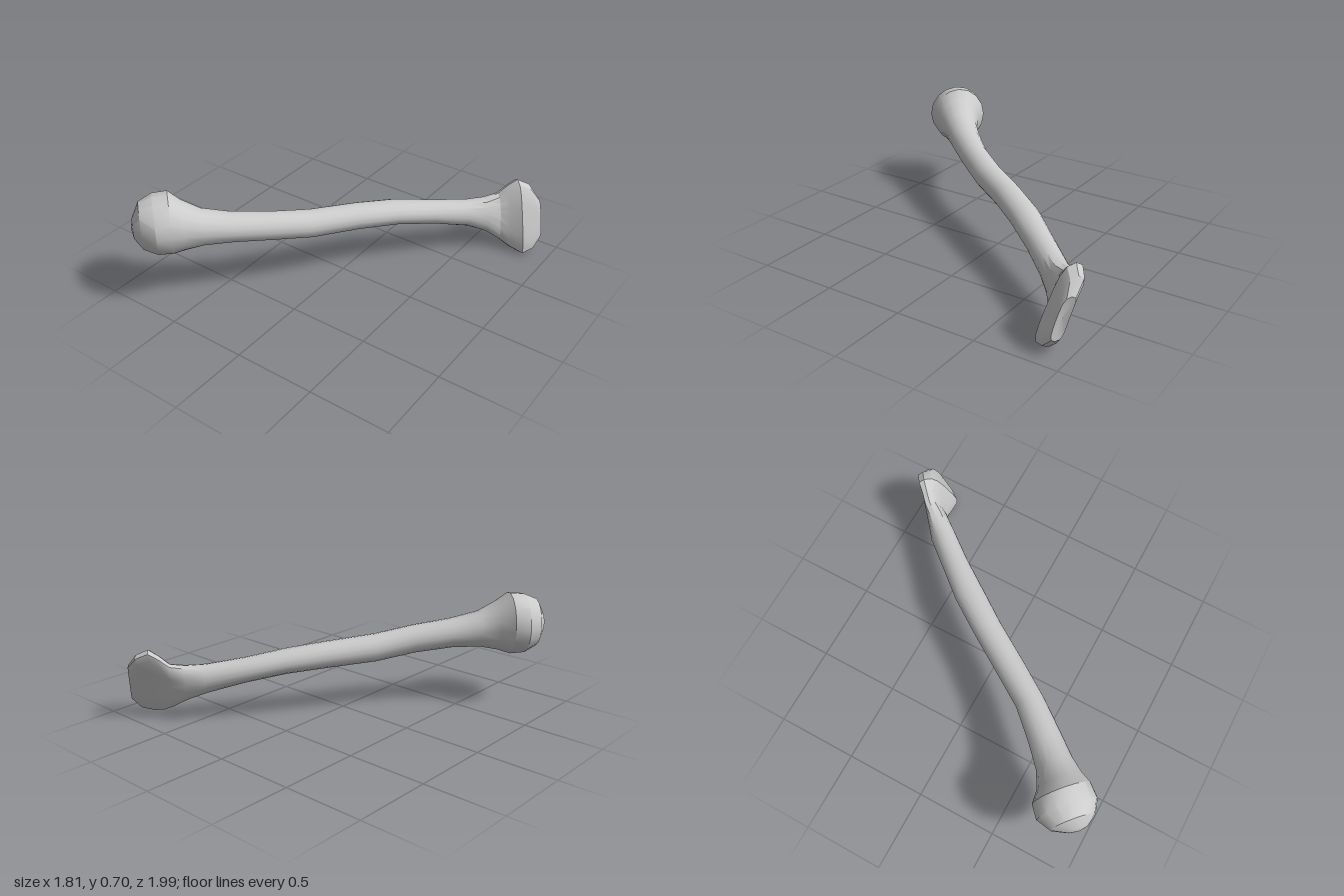
import * as THREE from 'three';
import { toCreasedNormals } from 'three/addons/utils/BufferGeometryUtils.js';

const SIDES = 16;
// horizontal directions along and across the bone
const along = new THREE.Vector3(0.67, 0, -0.742);
const across = new THREE.Vector3(0.742, 0, 0.67);

// cross-sections: [distance along, across min, across max, bottom, top]
const head = [
  [-1.245, -0.03, 0.09, 0.44, 0.57],
  [-1.2, -0.12, 0.15, 0.36, 0.655],
  [-1.12, -0.172, 0.195, 0.322, 0.69],
  [-1.03, -0.165, 0.19, 0.315, 0.698],
  [-0.96, -0.11, 0.168, 0.335, 0.645],
  [-0.85, -0.072, 0.15, 0.355, 0.58],
];
const shaft = [
  [-0.68, -0.056, 0.142, 0.355, 0.537],
  [-0.45, -0.048, 0.127, 0.33, 0.505],
  [-0.2, -0.082, 0.097, 0.293, 0.465],
  [0.1, -0.128, 0.05, 0.28, 0.442],
  [0.35, -0.159, 0.025, 0.263, 0.415],
  [0.6, -0.163, 0.002, 0.22, 0.372],
  [0.83, -0.167, -0.007, 0.165, 0.342],
];
// the far end also has [lean, pinch]: the top leans across, the middle is hollowed
const elbow = [
  [0.95, -0.158, -0.007, 0.12, 0.34, 0.01, 0.1],
  [1.04, -0.145, 0.005, 0.06, 0.358, 0.035, 0.25],
  [1.1, -0.137, 0.05, 0.02, 0.41, 0.06, 0.35],
  [1.16, -0.137, 0.11, 0.0, 0.45, 0.085, 0.35],
  [1.235, -0.122, 0.1, 0.025, 0.415, 0.075, 0.35],
  [1.29, -0.06, 0.07, 0.09, 0.335, 0.04, 0.3],
];

function place(s, t, y) {
  return along.clone().multiplyScalar(s).addScaledVector(across, t).setY(y);
}

function ring([s, t0, t1, y0, y1, lean = 0, pinch = 0]) {
  const mid = (t0 + t1) / 2, half = (t1 - t0) / 2;
  const width = Math.sqrt(half * half - lean * lean); // keeps the leaning outline within its limits
  const points = [];
  for (let j = 0; j < SIDES; j++) {
    const a = (j / SIDES) * Math.PI * 2;
    const c = Math.cos(a), v = Math.sin(a);
    // deeper hollow on the rear side, shallower waist on the front side
    const hollow = 1 - pinch * (c < 0 ? 1.3 : 0.7) * (1 - v * v);
    const box = pinch > 0 ? Math.sign(c) * Math.pow(Math.abs(c), 0.75) : c;
    points.push(place(s, mid + box * width * hollow - lean * v, (y0 + y1) / 2 + v * (y1 - y0) / 2));
  }
  return points;
}

// skin consecutive rings, then close both ends
function loft(sections) {
  const pos = [], index = [];
  sections.forEach((sec) => ring(sec).forEach((p) => pos.push(p.x, p.y, p.z)));
  const last = (sections.length - 1) * SIDES;
  const first = sections[0], end = sections[sections.length - 1];
  const centre = (sec, push) => place(sec[0] + push, (sec[1] + sec[2]) / 2, (sec[3] + sec[4]) / 2);
  const tip = pos.length / 3;
  [centre(first, -0.012), centre(end, -0.02)].forEach((p) => pos.push(p.x, p.y, p.z));
  for (let j = 0; j < SIDES; j++) {
    const k = (j + 1) % SIDES;
    for (let i = 0; i < last; i += SIDES) {
      index.push(i + j, i + SIDES + j, i + k, i + SIDES + j, i + SIDES + k, i + k);
    }
    index.push(tip, j, k, tip + 1, last + k, last + j);
  }
  const geometry = new THREE.BufferGeometry();
  geometry.setAttribute('position', new THREE.Float32BufferAttribute(pos, 3));
  geometry.setIndex(index);
  return toCreasedNormals(geometry, 0.5);
}

export function createModel() {
  const group = new THREE.Group();
  group.name = 'armBone';
  const bone = new THREE.Mesh(
    loft([...head, ...shaft, ...elbow]),
    new THREE.MeshStandardMaterial({ color: 0xcccccc })
  );
  bone.name = 'bone';
  group.add(bone);
  return group;
}
